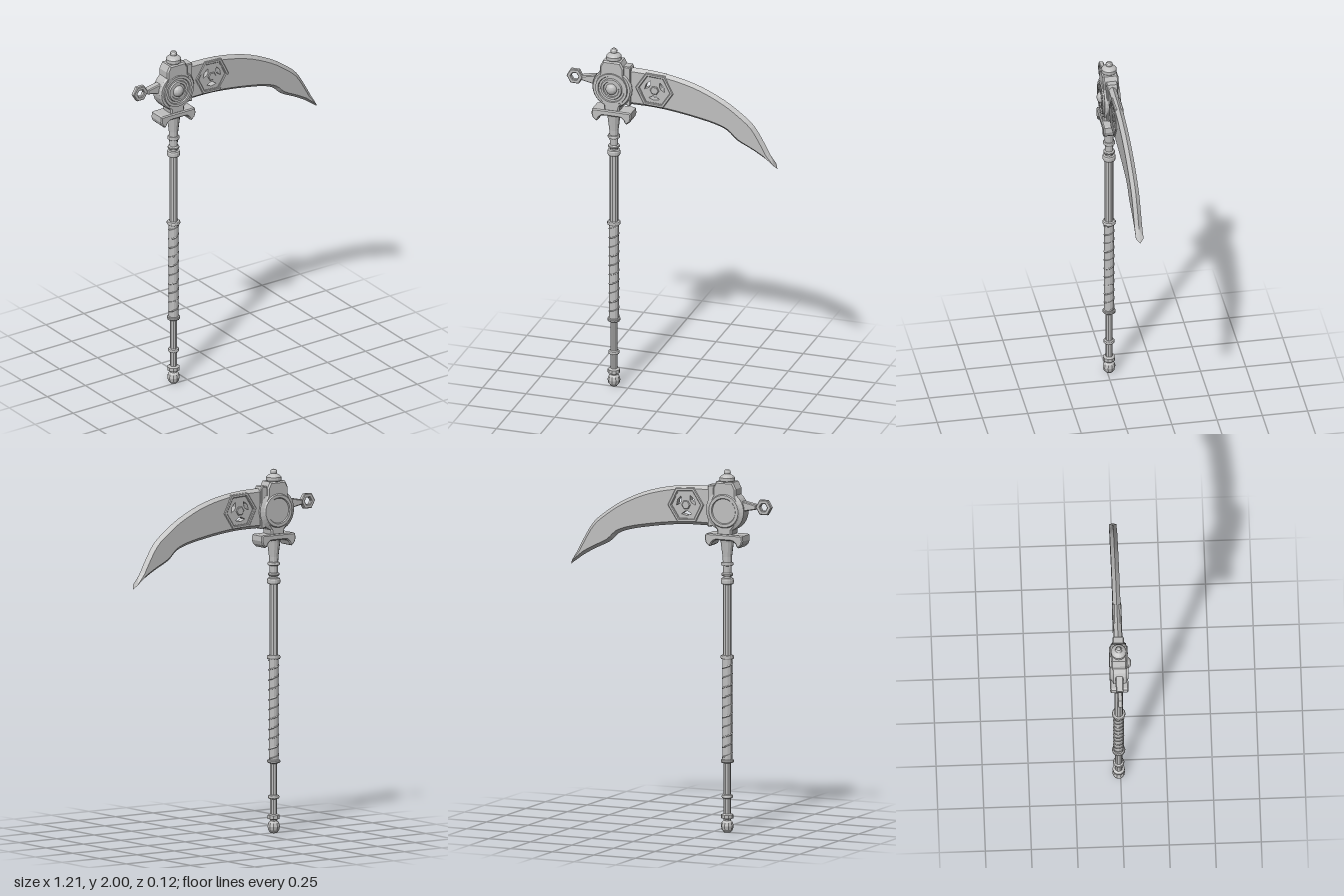
import * as THREE from 'three';

export function createModel() {
  const root = new THREE.Group();
  root.name = 'scythe';
  const scythe = new THREE.Group();
  scythe.name = 'scytheParts';
  scythe.position.set(-0.334, 0, -0.0105); // shaft axis is the local origin
  root.add(scythe);

  const steel = new THREE.MeshStandardMaterial({ color: 0xc0c0c0, flatShading: true });
  steel.name = 'grey steel';

  const add = (name, geo, x = 0, y = 0, z = 0) => {
    const m = new THREE.Mesh(geo, steel);
    m.name = name;
    m.position.set(x, y, z);
    scythe.add(m);
    return m;
  };
  const vecs = (pts) => pts.map(([x, y]) => new THREE.Vector2(x, y));
  const lathe = (pts, seg) => new THREE.LatheGeometry(vecs(pts), seg);
  // Plate of half thickness h centred on z = 0, with optional chamfer
  const plate = (pts, h, holes = [], bevel = 0) => {
    const s = new THREE.Shape(vecs(pts));
    holes.forEach((o) => s.holes.push(new THREE.Path(vecs(o))));
    const g = new THREE.ExtrudeGeometry(s, {
      depth: 2 * (h - bevel), bevelEnabled: bevel > 0, bevelSegments: 1,
      bevelThickness: bevel, bevelSize: bevel, bevelOffset: -bevel,
    });
    return g.translate(0, 0, bevel - h);
  };
  const ngon = (r, a0 = 0) => Array.from({ length: 6 }, (_, i) => {
    const a = a0 + (i / 6) * Math.PI * 2;
    return [r * Math.cos(a), r * Math.sin(a)];
  });

  // Shaft, fluted pommel and flared neck
  add('pommel', lathe([[0, 0], [0.018, 0.002], [0.031, 0.018], [0.035, 0.038], [0.03, 0.058],
    [0.02, 0.068], [0.02, 0.076], [0.034, 0.08], [0.034, 0.1], [0.02, 0.106]], 10));
  add('lowerShaft', new THREE.CylinderGeometry(0.02, 0.02, 0.31, 10, 1, true), 0, 0.25);
  add('grip', new THREE.CylinderGeometry(0.027, 0.027, 0.57, 12, 1, true), 0, 0.68);
  add('upperShaft', new THREE.CylinderGeometry(0.024, 0.024, 0.41, 10, 1, true), 0, 1.17);
  add('flaredNeck', lathe([[0.022, 1.37], [0.022, 1.41], [0.024, 1.48], [0.026, 1.52],
    [0.036, 1.6], [0.04, 1.62]], 12));

  // Collars: height, radius, thickness
  [[0.2, 0.031, 0.016], [0.395, 0.036, 0.016], [0.967, 0.037, 0.018], [1.385, 0.036, 0.03],
    [1.422, 0.032, 0.014], [1.48, 0.034, 0.016]].forEach(([y, r, h]) => {
    add('collar', lathe([[0.018, -h / 2 - 0.004], [r * 0.92, -h / 2], [r, -h / 4], [r, h / 4],
      [r * 0.92, h / 2], [0.018, h / 2 + 0.004]], 14), 0, y);
  });

  // Spiral wrap on the grip
  const wrap = Array.from({ length: 161 }, (_, i) => {
    const a = (i / 16) * Math.PI * 2;
    return new THREE.Vector3(0.026 * Math.cos(a), 0.41 + (0.545 * i) / 160, -0.026 * Math.sin(a));
  });
  add('gripWrap', new THREE.TubeGeometry(new THREE.CatmullRomCurve3(wrap), 200, 0.0045, 5));

  // Hooked crossguard, mirrored about the shaft
  const half = [[0.1, 1.647], [0.111, 1.643], [0.114, 1.615], [0.107, 1.594], [0.088, 1.577],
    [0.078, 1.583], [0.07, 1.6], [0.055, 1.612], [0.04, 1.614]];
  add('crossguard', plate([...half, ...half.map(([x, y]) => [-x, y]).reverse()], 0.05, [], 0.006));

  // Housing body
  const side = [[0.042, 1.64], [0.045, 1.67], [0.068, 1.7], [0.09, 1.74], [0.09, 1.82],
    [0.068, 1.86], [0.068, 1.9], [0.05, 1.935], [0.038, 1.935]];
  add('housing', plate([...side, ...side.map(([x, y]) => [-x, y]).reverse()], 0.043, [], 0.008));

  // Round hub: ringed dial and dome in front, recessed disc behind
  add('hubDisc', lathe([[0, -0.044], [0.068, -0.044], [0.072, -0.05], [0.088, -0.05], [0.094, -0.042],
    [0.113, -0.032], [0.113, 0.032], [0.106, 0.042], [0.092, 0.042], [0.09, 0.05], [0.076, 0.05],
    [0.073, 0.043], [0.062, 0.043], [0.058, 0.051], [0.046, 0.051], [0.043, 0.045], [0, 0.045]], 28)
    .rotateX(Math.PI / 2), 0, 1.775);
  add('hubDome', new THREE.SphereGeometry(0.032, 18, 12).scale(1, 1, 0.75), 0, 1.775, 0.0445);

  // Finial
  add('finial', lathe([[0.036, 1.93], [0.042, 1.938], [0.042, 1.956], [0.034, 1.965], [0.02, 1.972],
    [0.017, 1.976], [0.019, 1.982], [0.018, 1.99], [0.011, 1.998], [0, 2]], 16));

  // Bracket clamping the blade
  add('bladeBracket', plate([[0.055, 1.69], [0.1, 1.68], [0.105, 1.69], [0.105, 1.9], [0.1, 1.912],
    [0.065, 1.912], [0.06, 1.87]], 0.031, [], 0.005));

  // Side arm ending in a hexagonal ring
  add('sideArm', plate([[-0.18, 1.792], [-0.165, 1.789], [-0.1, 1.776], [-0.1, 1.833],
    [-0.165, 1.82], [-0.18, 1.817]], 0.021, [], 0.005));
  add('hexRing', plate(ngon(0.047), 0.013, [ngon(0.022)], 0.004), -0.222, 1.806);

  // Blade: smooth back and cutting edge, inset towards each other for the flat face
  const spline = (pts) => new THREE.SplineCurve(vecs(pts)).getPoints(24);
  const backLine = spline([[0.1, 1.902], [0.238, 1.897], [0.37, 1.878], [0.503, 1.841], [0.635, 1.78],
    [0.73, 1.717], [0.804, 1.653], [0.862, 1.561], [0.9, 1.49]]);
  const edgeLine = spline([[0.1, 1.683], [0.238, 1.682], [0.36, 1.67], [0.476, 1.652], [0.582, 1.63],
    [0.651, 1.603], [0.704, 1.555], [0.794, 1.51], [0.862, 1.471]]);
  const outline = (inset, tip) => {
    const shift = (from, to) => from.map((p, i) => p.clone()
      .lerp(to[i], Math.min(inset / p.distanceTo(to[i]), 0.35)).toArray());
    return [...shift(backLine, edgeLine), tip, ...shift(edgeLine, backLine).reverse()];
  };
  const outer = outline(0, [0.938, 1.416]), inner = outline(0.018, [0.924, 1.438]);
  const h = 0.021, cx = 0.239, cy = 1.79, tilt = -0.06;
  const window = ngon(0.085, tilt).map(([x, y]) => [x + cx, y + cy]);
  add('bladeCore', plate(inner, h, [window]));

  // Ground bevels from the flat faces to the sharp rim
  const pos = [];
  for (let i = 0; i < outer.length - 1; i++) {
    const [a, b] = [outer[i], outer[i + 1]].map((p) => [...p, 0]);
    for (const z of [h, -h]) {
      const c = [...inner[i], z], d = [...inner[i + 1], z];
      pos.push(...(z > 0 ? [a, c, d, a, d, b] : [a, d, c, a, b, d]).flat());
    }
  }
  const bevels = new THREE.BufferGeometry();
  bevels.setAttribute('position', new THREE.Float32BufferAttribute(pos, 3));
  bevels.computeVertexNormals();
  add('bladeBevels', bevels);

  // Hexagonal emblem: raised frame, pierced web with three broad spokes, hub
  add('emblemFrame', plate(ngon(0.109, tilt), 0.025, [ngon(0.088, tilt)], 0.004), cx, cy);
  const wedges = [30, 150, 270].map((deg) => {
    const at = (r, off) => {
      const a = ((deg + off) * Math.PI) / 180 + tilt;
      return [r * Math.cos(a), r * Math.sin(a)];
    };
    return [at(0.036, -14), at(0.058, -32), at(0.058, 0), at(0.058, 32), at(0.036, 14)];
  });
  add('emblemWeb', plate(ngon(0.09, tilt), 0.018, wedges), cx, cy);
  add('emblemHub', plate(ngon(0.026, tilt), 0.024, [], 0.004), cx, cy);

  return root;
}
